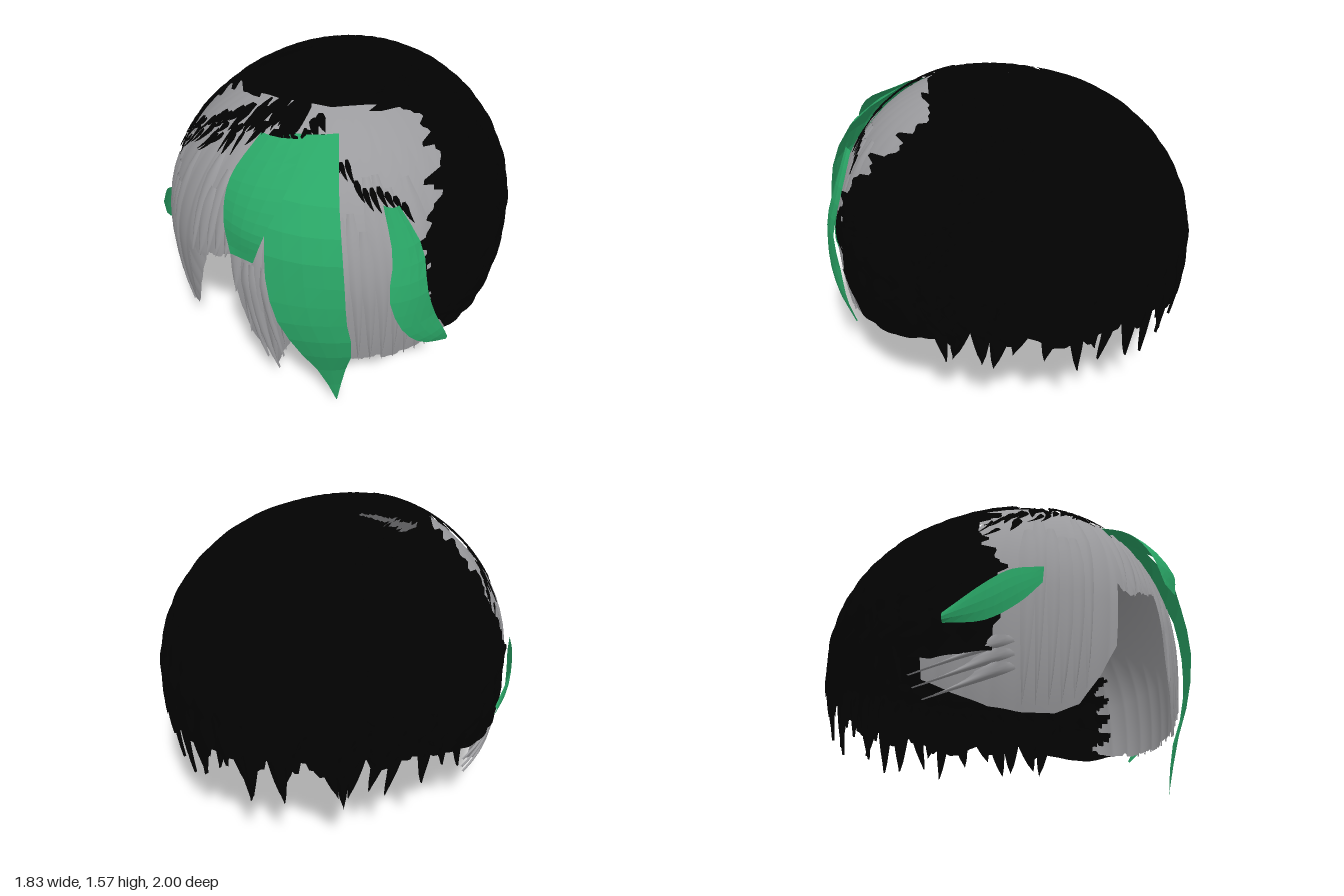
import * as THREE from 'three';

const mat = (name, color, flatShading = false) => {
  const m = new THREE.MeshStandardMaterial({ color, side: THREE.DoubleSide, flatShading });
  m.name = name;
  return m;
};
const RAD = Math.PI / 180, MID = 0.72;
const { lerp, clamp } = THREE.MathUtils;
const noise = (i) => { const s = Math.sin(i * 91.7) * 4375.5; return s - Math.floor(s); };

// piecewise linear lookup in [key, value] pairs with rising keys
function table(pts, k) {
  if (k <= pts[0][0]) return pts[0][1];
  for (let i = 1; i < pts.length; i++) {
    const [k0, v0] = pts[i - 1], [k1, v1] = pts[i];
    if (k <= k1) return lerp(v0, v1, (k - k0) / (k1 - k0));
  }
  return pts[pts.length - 1][1];
}

// head surface: a = azimuth from the front toward +x, phi = angle from the crown
const phiOf = (y) => Math.acos(clamp((y - MID) / (y > MID ? 0.84 : 1.3), -1, 1));
const yOf = (phi) => MID + Math.cos(phi) * (phi < Math.PI / 2 ? 0.84 : 1.3);
const frontReach = (phi) => 0.93 * Math.pow(Math.sin(phi), 0.75);
function surf(a, phi, off = 0) {
  const s = Math.sin(phi), c = Math.cos(a), k = 1 + off;
  const z = c > 0 ? frontReach(phi) * Math.pow(c, 0.88) : 0.975 * c * Math.pow(s, 0.94);
  const y = yOf(phi) - MID;
  return new THREE.Vector3(0.885 * Math.sin(a) * s * k, MID + (y > 0 ? y * k : y), z * k);
}

// grid surface from f(u, v); cells whose centre fails keep() are left out
function sheet(nu, nv, f, keep = () => true) {
  const pos = [], idx = [], p = [];
  for (let j = 0; j <= nv; j++) for (let i = 0; i <= nu; i++) {
    const q = f(i / nu, j / nv);
    p.push(q);
    pos.push(q.x, q.y, q.z);
  }
  for (let j = 0; j < nv; j++) for (let i = 0; i < nu; i++) {
    const a = j * (nu + 1) + i, b = a + 1, c = a + nu + 1, d = c + 1;
    if (keep(p[a].clone().add(p[d]).multiplyScalar(0.5))) idx.push(a, c, b, b, c, d);
  }
  const g = new THREE.BufferGeometry();
  g.setAttribute('position', new THREE.Float32BufferAttribute(pos, 3));
  g.setIndex(idx);
  g.computeVertexNormals();
  return g;
}

// pointed lock lying on the head, from (a0, y0) to its tip (a1, y1), in degrees and heights
function lock(a0, y0, a1, y1, width, off, bulge = 0.015) {
  const p0 = phiOf(y0), p1 = phiOf(y1);
  return sheet(4, 8, (u, v) => {
    const w = width * Math.pow(1 - v, 0.7) * (0.4 + 0.6 * Math.min(1, v * 4));
    const a = lerp(a0, a1, v * v) + (u - 0.5) * w;
    return surf(a * RAD, lerp(p0, p1, v), off + bulge * Math.sin(u * Math.PI));
  });
}

// free ribbon through rows of [left xyz, right xyz], arched outward in the middle
function ribbon(rows, arch) {
  const curve = (k) => new THREE.CatmullRomCurve3(
    rows.map((r) => new THREE.Vector3(...r.slice(k, k + 3))), false, 'centripetal');
  const L = curve(0), R = curve(3);
  return sheet(4, 12, (u, v) => {
    const p = L.getPoint(v).lerp(R.getPoint(v), u);
    const out = new THREE.Vector3(p.x, 0, p.z).normalize();
    return p.addScaledVector(out, arch * Math.sin(u * Math.PI) * (1 - v * v));
  });
}

// front edge of the dark hair: z by height, on each side
const EDGE_L = [[0.4, 0.38], [0.6, 0.5], [0.8, 0.58], [1, 0.54], [1.2, 0.36], [1.36, 0.18], [1.46, 0.18], [1.51, 0.42]];
const EDGE_R = [[0.4, 0.38], [0.8, 0.42], [1, 0.38], [1.2, 0.3], [1.4, 0.28], [1.51, 0.42]];
// lower edge of the grey hair: height by azimuth
const HEM = [[-88, 0.33], [-80, 0.25], [-70, 0.18], [-60, 0.15], [-50, 0.15], [-42, 0.2], [-35, 0.34], [-29, 0.5],
  [-27.5, 0.84], [-22, 0.79], [-15, 0.85], [-6, 0.9], [-5, 0.82], [-3, 0.62], [0, 0.47], [5, 0.34], [8, 0.27],
  [11, 0.38], [14, 0.46], [20, 0.41], [30, 0.38], [45, 0.35], [60, 0.36], [75, 0.41], [82, 0.46]];
// upper edge of the grey hair: crown angle by azimuth
const GREY_TOP = [[-75, 36], [-71, 30], [-62, 18], [-52, 9], [40, 9], [60, 17], [82, 24]];

export function createModel() {
  const root = new THREE.Group();
  const black = mat('black hair', 0x020202);
  const grey = mat('grey hair', 0x9b9b9e);
  const green = mat('green streak', 0x2aa767, true);
  const add = (name, geo, m, parent = root) => {
    const mesh = new THREE.Mesh(geo, m);
    mesh.name = name;
    parent.add(mesh);
  };
  const group = (name) => {
    const g = new THREE.Group();
    g.name = name;
    root.add(g);
    return g;
  };

  // dark back shell with scalloped strands, ragged hem and ragged front edge
  add('backHair', sheet(220, 80, (u, v) => {
    const s = u * 2 - 1, m = Math.abs(s);
    const jag = m < 0.68 ? (noise(Math.floor(u * 90)) - 0.5) * 0.1 : 0;
    const phi = Math.max(0.001, v * phiOf(lerp(0.55, 0.41, clamp((m - 0.6) * 4, 0, 1)) + jag));
    const y = yOf(phi);
    const tooth = y > 0.55 ? (noise(Math.floor(v * 40) + (s > 0 ? 3 : 77)) - 0.5) * 0.13 : 0;
    const z = table(s < 0 ? EDGE_L : EDGE_R, y) + tooth;
    const edge = Math.acos(Math.pow(clamp(z / frontReach(phi), 0, 1), 1 / 0.88));
    const a = Math.PI + s * (Math.PI - edge);
    const ripple = Math.abs(Math.cos(a * 20)) + 0.6 * Math.abs(Math.sin(phi * 16));
    return surf(a, phi, 0.01 + 0.012 * ripple * Math.sin(phi));
  }, (p) => !(p.y > 1.2 && p.x > -0.41 && p.z > 0.03 - 0.5 * (p.x + 0.4)
    && p.z < 0.15 - 1.1 * (p.x + 0.38) && p.x < -0.2)), black);

  // pointed dark tips of uneven length along the back hem
  const tips = group('backTips');
  for (let i = 0; i < 26; i++) {
    const a = 100 + i * 6.4 + noise(i) * 3;
    add('backTip', lock(a, 0.8, a + (noise(i + 40) - 0.5) * 10, 0.29 + noise(i + 80) * 0.18, 8 + noise(i + 9) * 4, 0.006), black, tips);
  }

  // grey fringe shell, tucked under the dark hair at the sides
  add('fringe', sheet(260, 60, (u, v) => {
    const d = lerp(-88, 82, u), a = d * RAD;
    const hem = table(HEM, d) + (d > -28 ? (noise(Math.floor(u * 85)) - 0.5) * 0.03 : 0);
    const phi = lerp(table(GREY_TOP, d) * RAD, phiOf(hem), v);
    return surf(a, phi, 0.005 * Math.abs(Math.sin(a * 24 + v * 4)) * v);
  }, (p) => p.y < 0.5 || p.y > 1.15 || p.z > 0.25 + 0.05 * Math.sin(p.y * 50)), grey);

  // layered grey locks over the fringe
  const locks = group('fringeLocks');
  for (let d = -60; d <= 60; d += 4) {
    if (d > -37 && d < -24) continue;
    const hem = table(HEM, d), top = 1.32 - noise(d) * 0.3;
    add('fringeLock', lock(d * 0.95, top, d, hem + (d < -24 ? 0.03 : -0.01), 6 + noise(d + 5) * 3, 0.007, 0.01), grey, locks);
  }
  // loose grey tips beside the face opening and sweeping back from the side lock
  for (const [a0, y0, a1, y1, w] of [[2, 0.9, 8.5, 0.22, 6], [0, 0.9, 5, 0.3, 6], [6, 0.9, 11, 0.34, 5],
    [-66, 0.36, -88, 0.24, 14], [-66, 0.42, -90, 0.3, 14], [-66, 0.48, -91, 0.36, 14]])
    add('looseTip', lock(a0, y0, a1, y1, w, 0.007), grey, locks);

  // dark slivers pointing forward from the seam between the two hair colours
  const slivers = group('seamSlivers');
  for (let i = 0; i < 84; i++) {
    const d = -70 + (i / 83) * 96 + noise(i + 200) * 3;
    const start = 1.525 - Math.pow(d / 66, 2) * 0.33 - Math.pow(noise(i + 300), 2) * 0.12;
    const width = (1.6 + noise(i + 500) * 2.2) / Math.sin(phiOf(start));
    add('seamSliver', lock(d, start, d * 1.06 + (noise(i + 600) - 0.5) * 6,
      start - 0.04 - noise(i + 400) * 0.08, width, 0.018, 0.004), black, slivers);
  }
  // a few dark slivers beside the left streak
  for (let i = 0; i < 10; i++) {
    const d = 30 + i * 2.6, start = 1.42 - i * 0.025 - noise(i + 20) * 0.06;
    add('seamSliver', lock(d, start, d + 2, start - 0.06 - noise(i + 30) * 0.05, 3, 0.018, 0.004), black, slivers);
  }

  // green streaks
  add('mainStreak', ribbon([
    [0.0, 1.43, 0.58, 0.27, 1.46, 0.52], [0.07, 1.3, 0.82, 0.39, 1.28, 0.74], [0.13, 1.1, 0.95, 0.46, 1.08, 0.84],
    [0.15, 0.9, 0.99, 0.49, 0.88, 0.87], [0.2, 0.7, 1.0, 0.5, 0.7, 0.87], [0.27, 0.5, 0.95, 0.515, 0.5, 0.84],
    [0.34, 0.25, 0.84, 0.44, 0.25, 0.78], [0.383, 0.0, 0.76, 0.387, 0.0, 0.76]], 0.025), green);
  add('shortStreak', ribbon([
    [-0.08, 1.42, 0.62, 0.15, 1.44, 0.6], [-0.12, 1.28, 0.83, 0.19, 1.32, 0.84],
    [-0.1, 1.13, 0.93, 0.14, 1.13, 0.97], [-0.05, 0.97, 0.97, 0.08, 0.97, 0.98]], 0.025), green);
  add('leftStreak', ribbon([
    [0.55, 1.23, 0.63, 0.6, 1.21, 0.57], [0.63, 1.0, 0.68, 0.72, 1.0, 0.55], [0.65, 0.8, 0.74, 0.77, 0.8, 0.58],
    [0.71, 0.6, 0.7, 0.8, 0.6, 0.52], [0.77, 0.46, 0.59, 0.83, 0.46, 0.46], [0.83, 0.35, 0.41, 0.832, 0.36, 0.4]], 0.02), green);
  add('rightStreak', ribbon([
    [-0.915, 0.6, 0.19, -0.91, 0.55, 0.19], [-0.88, 0.72, 0.4, -0.86, 0.54, 0.38],
    [-0.83, 0.78, 0.5, -0.8, 0.62, 0.52], [-0.75, 0.8, 0.62, -0.75, 0.72, 0.61]], 0.012), green);
  return root;
}
